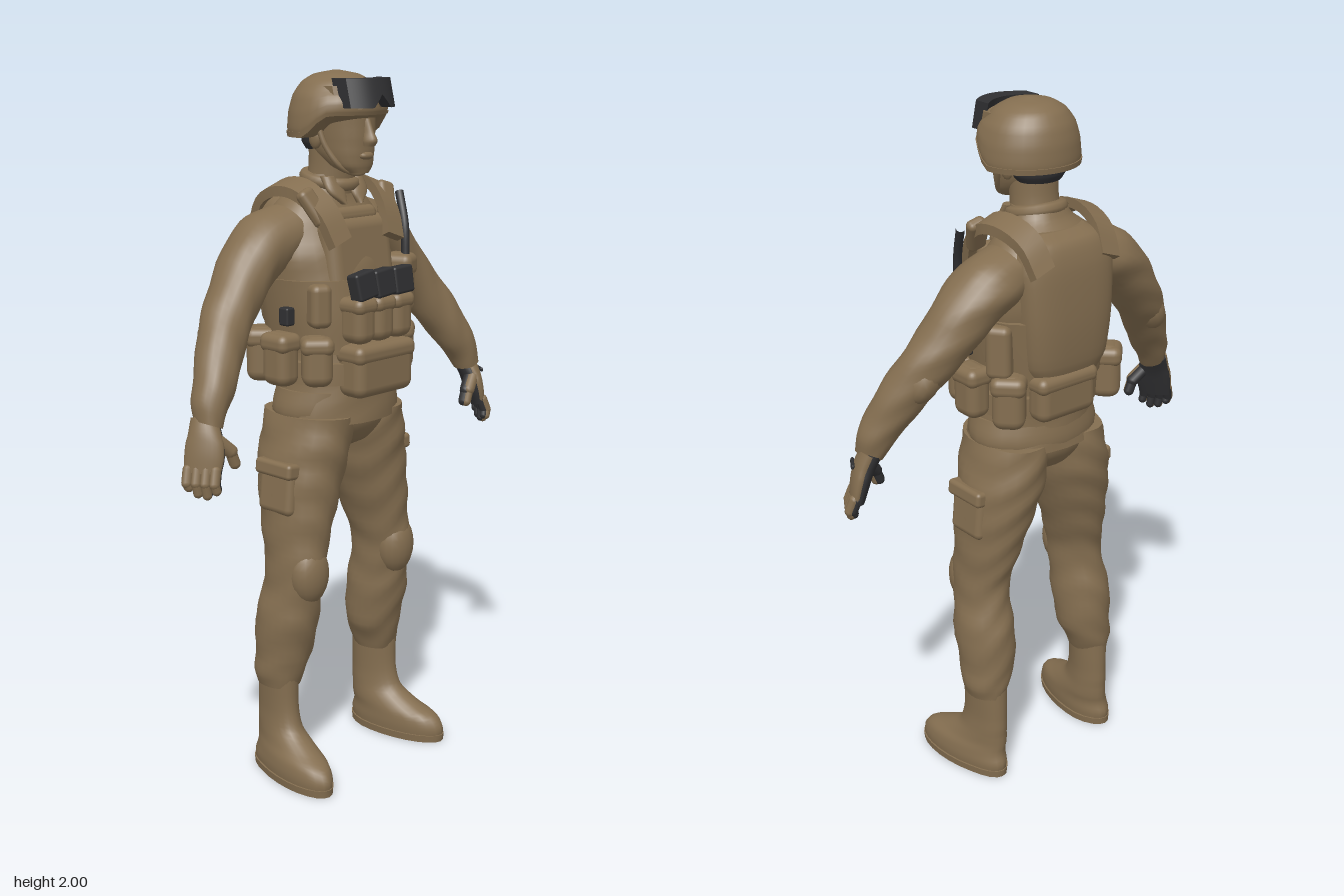
import * as THREE from 'three';
import { RoundedBoxGeometry } from 'three/addons/geometries/RoundedBoxGeometry.js';

const V = (x, y, z) => new THREE.Vector3(x, y, z);

// Loft through rings [x, y, z, rx, rz, tilt in degrees], listed bottom to top.
function loft(rings, { seg = 24, steps = 4, p = 2, fold = 0 } = {}) {
  const centre = new THREE.CatmullRomCurve3(rings.map(r => V(r[0], r[1], r[2])));
  const size = new THREE.CatmullRomCurve3(rings.map(r => V(r[3], r[4], (r[5] || 0) * Math.PI / 180)));
  const rows = (rings.length - 1) * steps, pos = [], idx = [];
  const bend = v => Math.sign(v) * Math.abs(v) ** (2 / p);
  const addRing = i => {
    const c = centre.getPoint(i / rows), s = size.getPoint(i / rows);
    for (let j = 0; j < seg; j++) {
      const a = j / seg * Math.PI * 2;
      const k = 1 + fold * Math.sin(60 * c.y + 2.6 * Math.cos(2 * a + 1) + a);
      const u = bend(Math.cos(a)) * s.x * k;
      pos.push(c.x + u * Math.cos(s.z), c.y + u * Math.sin(s.z), c.z + bend(Math.sin(a)) * s.y * k);
    }
    return c;
  };
  for (let i = 0; i <= rows; i++) addRing(i);
  for (let i = 0; i < rows; i++) for (let j = 0; j < seg; j++) {
    const a = i * seg + j, b = i * seg + (j + 1) % seg;
    idx.push(a, a + seg, b, b, a + seg, b + seg);
  }
  for (const i of [0, rows]) {
    const start = pos.length / 3, c = addRing(i);
    pos.push(c.x, c.y, c.z);
    for (let j = 0; j < seg; j++) {
      const a = start + j, b = start + (j + 1) % seg;
      idx.push(...(i ? [a, start + seg, b] : [a, b, start + seg]));
    }
  }
  const g = new THREE.BufferGeometry();
  g.setAttribute('position', new THREE.Float32BufferAttribute(pos, 3));
  g.setIndex(idx);
  g.computeVertexNormals();
  return g;
}

// Move each vertex of a geometry by a rule.
function warp(g, rule) {
  const p = g.attributes.position, v = V(0, 0, 0);
  for (let i = 0; i < p.count; i++) {
    rule(v.fromBufferAttribute(p, i));
    p.setXYZ(i, v.x, v.y, v.z);
  }
  g.computeVertexNormals();
  return g;
}

function mirror(g) {
  const m = g.clone().scale(-1, 1, 1), a = m.index.array;
  for (let i = 0; i < a.length; i += 3) [a[i], a[i + 1]] = [a[i + 1], a[i]];
  return m;
}

// Flat band of width w and thickness t following points, sloping down outward.
function band(points, w, t) {
  const curve = new THREE.CatmullRomCurve3(points);
  return warp(new THREE.BoxGeometry(w, t, 1, 1, 1, 16), v => {
    const k = v.z + 0.5, c = curve.getPoint(k), d = curve.getTangent(k);
    const n = V(0, d.z, -d.y).normalize();
    v.set(c.x + v.x, c.y + n.y * v.y - v.x * .35, c.z + n.z * v.y);
  });
}

function capsule(a, b, r) {
  const d = b.clone().sub(a), g = new THREE.CapsuleGeometry(r, d.length(), 4, 10);
  g.applyQuaternion(new THREE.Quaternion().setFromUnitVectors(V(0, 1, 0), d.normalize()));
  const m = a.clone().add(b).multiplyScalar(0.5);
  return g.translate(m.x, m.y, m.z);
}

export function createModel() {
  const model = new THREE.Group();
  const cloth = new THREE.MeshStandardMaterial({ color: 0x846e50 });
  cloth.name = 'tan cloth';
  const dark = new THREE.MeshStandardMaterial({ color: 0x303032 });
  dark.name = 'dark rubber';
  const add = (name, g, mat = cloth) => {
    const m = new THREE.Mesh(g, mat);
    m.name = name;
    model.add(m);
    return m;
  };
  const pair = (name, g, mat) => {
    add(name + 'Left', g, mat);
    add(name + 'Right', mirror(g), mat);
  };
  const box = (name, x, y, z, w, h, d, { r = 0.02, ry = 0, rx = 0, rz = 0, mat = cloth } = {}) => {
    const m = add(name, new RoundedBoxGeometry(w, h, d, 3, Math.min(r, w / 2.1, h / 2.1, d / 2.1)), mat);
    m.position.set(x, y, z);
    m.rotation.set(rx, ry, rz);
  };
  // Pouch with a lid flap.
  const pouch = (name, x, y, z, w, h, d, o = {}) => {
    box(name, x, y, z, w, h, d, { r: 0.03, ...o });
    box(name + 'Flap', x, y + h * 0.3, z, w + 0.007, h * 0.36, d + 0.007, { r: 0.022, ...o });
  };

  // Trousers, boots and knees
  add('hips', loft([[0, .955, -.01, .03, .05], [0, .98, -.01, .11, .1], [0, 1.03, -.01, .18, .138], [0, 1.08, -.008, .2, .15],
    [0, 1.14, 0, .185, .15]]));
  pair('trouserLeg', loft([[.205, .27, -.035, .055, .068], [.202, .305, -.033, .067, .076], [.19, .36, -.028, .079, .084],
    [.188, .48, -.012, .084, .098], [.182, .56, .002, .074, .095], [.178, .63, .012, .073, .098], [.168, .7, .003, .081, .105],
    [.15, .8, -.005, .097, .12], [.13, .9, -.013, .111, .134], [.113, .98, -.013, .111, .145], [.1, 1.07, -.008, .098, .147]],
  { fold: .024 }));
  pair('boot', warp(loft([[.215, 0, .045, .062, .16], [.215, .035, .045, .066, .165], [.213, .07, .04, .064, .15],
    [.208, .1, .008, .057, .118], [.207, .14, -.025, .05, .085], [.206, .2, -.035, .047, .075], [.206, .3, -.035, .052, .072]]),
  v => { v.x += .13 * Math.max(v.z, -.05); }));
  pair('bootSole', warp(loft([[.215, 0, .045, .067, .165], [.215, .022, .045, .07, .167]], { steps: 1 }),
    v => { v.x += .13 * Math.max(v.z, -.05); }));
  pair('kneePatch', new THREE.SphereGeometry(1, 18, 12).scale(.062, .09, .052).translate(.18, .62, .068));
  for (const s of [-1, 1]) {
    box('cargoPocket', s * .222, .87, -.005, .045, .15, .13, { rz: s * .1 });
    box('cargoFlap', s * .225, .925, -.005, .055, .045, .14, { r: .012, rz: s * .1 });
  }

  // Jacket and body armour
  add('jacket', loft([[0, 1.05, -.003, .197, .157], [0, 1.14, 0, .178, .152], [0, 1.25, -.008, .168, .155],
    [0, 1.4, -.022, .195, .157], [0, 1.5, -.038, .205, .152], [0, 1.59, -.055, .188, .132], [0, 1.65, -.055, .143, .103],
    [0, 1.695, -.04, .088, .077], [0, 1.725, -.03, .073, .07]], { p: 2.1, fold: .008 }));
  add('armourWrap', loft([[0, 1.25, -.013, .18, .168], [0, 1.35, -.02, .194, .17], [0, 1.45, -.03, .206, .165]], { p: 2.4 }));
  box('frontPlate', 0, 1.45, .08, .25, .33, .08, { r: .038, rx: -.14 });
  box('chestFlap', 0, 1.615, .06, .17, .045, .045, { rx: -.25 });
  add('backPlate', loft([[0, 1.27, -.125, .11, .06], [0, 1.32, -.13, .135, .07], [0, 1.45, -.132, .15, .076],
    [0, 1.58, -.127, .155, .074], [0, 1.65, -.117, .13, .062], [0, 1.675, -.1, .09, .04]], { p: 3, seg: 32 }));
  pair('shoulderStrap', band([V(.105, 1.55, .118), V(.122, 1.63, .08), V(.138, 1.685, .01), V(.136, 1.692, -.07),
    V(.126, 1.66, -.145), V(.115, 1.59, -.187)], .062, .028));
  for (const s of [-1, 1]) {
    box('strapPad', s * .142, 1.645, .055, .055, .11, .035, { r: .015, rx: -.5, rz: s * -.35 });
    box('sideBuckle', s * .212, 1.355, .02, .03, .05, .035, { r: .006, mat: dark });
  }
  const collar = add('collar', new THREE.TorusGeometry(.068, .018, 8, 28).rotateX(Math.PI / 2 + .2));
  collar.position.set(0, 1.708, -.024);
  pair('collarPoint', loft([[.03, 1.645, .06, .006, .012], [.045, 1.68, .043, .03, .016], [.055, 1.72, .018, .02, .02]]));

  // Chest magazines and pouches
  for (let i = -1; i <= 1; i++) {
    pouch('magazinePouch', i * .074, 1.345, .153, .076, .13, .09);
    box('magazine', i * .074, 1.44, .172, .075, .076, .042, { r: .008, rz: .1 - i * .06, rx: -.12, mat: dark });
  }
  pouch('bellyPouch', 0, 1.205, .153, .226, .15, .095);
  pouch('radioPouch', .16, 1.41, .092, .075, .18, .085, { ry: .4 });
  add('radioAntenna', new THREE.TubeGeometry(new THREE.CatmullRomCurve3([V(.16, 1.48, .115), V(.168, 1.57, .105), V(.187, 1.665, .065)]),
    12, .012, 8), dark);
  box('chestPouchRight', -.155, 1.385, .085, .06, .12, .07, { ry: -.4 });

  // Belt and its pouches
  add('belt', loft([[0, 1.165, 0, .192, .165], [0, 1.225, -.003, .19, .167]], { steps: 1, p: 2.3 }));
  for (const s of [-1, 1]) {
    pouch('frontBeltPouch', s * .165, 1.235, .088, .085, .14, .085, { ry: s * .7 });
    pouch('sideBeltPouch', s * .212, 1.235, -.005, .075, .15, .095);
    pouch('rearBeltPouch', s * .175, 1.23, -.12, .09, .155, .085, { ry: s * -.8 });
  }
  pouch('rearPack', .025, 1.23, -.163, .2, .135, .075);
  box('canteenPouch', .19, 1.37, -.1, .06, .15, .07, { ry: .6 });

  // Sleeves
  pair('sleeve', loft([[.522, 1.115, .045, .036, .042, 22], [.511, 1.155, .037, .047, .05, 25], [.486, 1.2, .026, .055, .058, 28],
    [.457, 1.25, .01, .061, .064, 30], [.412, 1.322, -.018, .067, .07, 34], [.359, 1.39, -.043, .07, .076, 38],
    [.276, 1.49, -.062, .078, .088, 42], [.208, 1.548, -.068, .082, .097, 50], [.135, 1.58, -.062, .07, .09, 66]], { fold: .025 }));
  pair('elbowPatch', new THREE.SphereGeometry(1, 14, 10).scale(.048, .07, .05).rotateZ(.6).translate(.404, 1.332, -.047));

  // Gloved hands, turned so the dark palms face inward and back
  const hand = (name, g, mat) => pair(name, g.translate(-.555, 0, -.05).rotateY(-.55).translate(.543, 0, .052), mat);
  const palm = [[.575, .995, .05, .018, .05, 14], [.565, 1.04, .053, .023, .054, 18], [.552, 1.085, .052, .026, .047, 22],
    [.532, 1.13, .045, .028, .036, 22]];
  hand('gloveBack', loft(palm));
  hand('glovePalm', loft(palm.map(([x, y, z, a, b, t]) => [x - .009, y - .002, z, a - .001, b - .001, t])), dark);
  for (let i = 0; i < 4; i++) {
    const z = .013 + i * .025, tip = .96 - [0, .015, .019, .006][i];
    hand('finger', capsule(V(.58, 1.005, z), V(.593, .972, z), .0142));
    hand('fingerTip', capsule(V(.593, .972, z), V(.589, tip, z + .004), .013));
    hand('fingerPad', capsule(V(.572, 1.005, z), V(.585, .972, z), .0139), dark);
    hand('fingerTipPad', capsule(V(.585, .972, z), V(.582, tip + .002, z + .004), .0125), dark);
  }
  hand('thumb', capsule(V(.545, 1.075, .086), V(.525, 1.045, .112), .019));
  hand('thumbTip', capsule(V(.525, 1.045, .112), V(.515, 1.01, .12), .0155));
  hand('thumbPad', capsule(V(.537, 1.073, .083), V(.517, 1.043, .109), .0185), dark);
  hand('thumbTipPad', capsule(V(.517, 1.043, .109), V(.507, 1.011, .117), .015), dark);
  box('gloveStrap', .562, 1.095, .066, .009, .013, .055, { r: .004, ry: -.55, rz: .35, mat: dark });

  // Head
  add('neck', loft([[0, 1.66, -.03, .075, .07], [0, 1.74, -.015, .066, .066], [0, 1.81, -.01, .066, .07]]));
  add('head', loft([[0, 1.73, .075, .034, .034], [0, 1.75, .056, .057, .058], [0, 1.785, .028, .071, .09],
    [0, 1.83, .012, .078, .108], [0, 1.9, .005, .085, .115]], { p: 2.2 }));
  add('nose', loft([[0, 1.803, .122, .016, .018], [0, 1.818, .124, .018, .025], [0, 1.84, .117, .013, .021],
    [0, 1.875, .108, .012, .015]], { seg: 12 }));
  add('lips', new THREE.SphereGeometry(1, 12, 8).scale(.026, .011, .014).translate(0, 1.777, .113));
  pair('ear', new THREE.SphereGeometry(1, 12, 8).scale(.014, .032, .022).translate(.08, 1.825, 0));
  add('hair', loft([[0, 1.79, -.035, .064, .053], [0, 1.81, -.032, .077, .067], [0, 1.86, -.03, .082, .075]]), dark);
  const strap = new THREE.CatmullRomCurve3([V(.092, 1.86, .02), V(.08, 1.8, .04), V(.05, 1.746, .07), V(0, 1.728, .085),
    V(-.05, 1.746, .07), V(-.08, 1.8, .04), V(-.092, 1.86, .02)]);
  add('chinStrap', new THREE.TubeGeometry(strap, 32, .008, 8));

  // Helmet, with its rim raised over the face
  const raiseFront = v => {
    const k = THREE.MathUtils.smoothstep(v.z, 0, .09);
    v.y += .06 * k * Math.max(0, 1 - (v.y - 1.825) / .12);
  };
  add('helmet', warp(loft([[0, 1.825, .004, .138, .128], [0, 1.85, .005, .142, .132], [0, 1.89, .006, .138, .131],
    [0, 1.935, .005, .124, .119], [0, 1.97, .002, .096, .094], [0, 1.99, 0, .06, .06], [0, 2, 0, .008, .008]], { seg: 32 }), raiseFront));
  add('helmetRim', warp(loft([[0, 1.825, .005, .142, .132], [0, 1.84, .005, .144, .135]], { seg: 32, steps: 2 }), raiseFront));

  // Goggles resting on the helmet, with a notch for the nose
  const curveBack = v => {
    if (v.y < 0) v.y += .035 * Math.max(0, 1 - Math.abs(v.x) / .032);
    v.set(v.x, v.y + 1.943, v.z + .143 - 5.5 * v.x * v.x - .25 * v.y);
  };
  add('goggles', warp(new THREE.BoxGeometry(.172, .076, .052, 28, 1, 1), curveBack), dark);
  add('goggleMount', warp(new THREE.BoxGeometry(.19, .06, .05, 14, 1, 1), v => { curveBack(v); v.z -= .033; v.y -= .012; }));
  return model;
}
